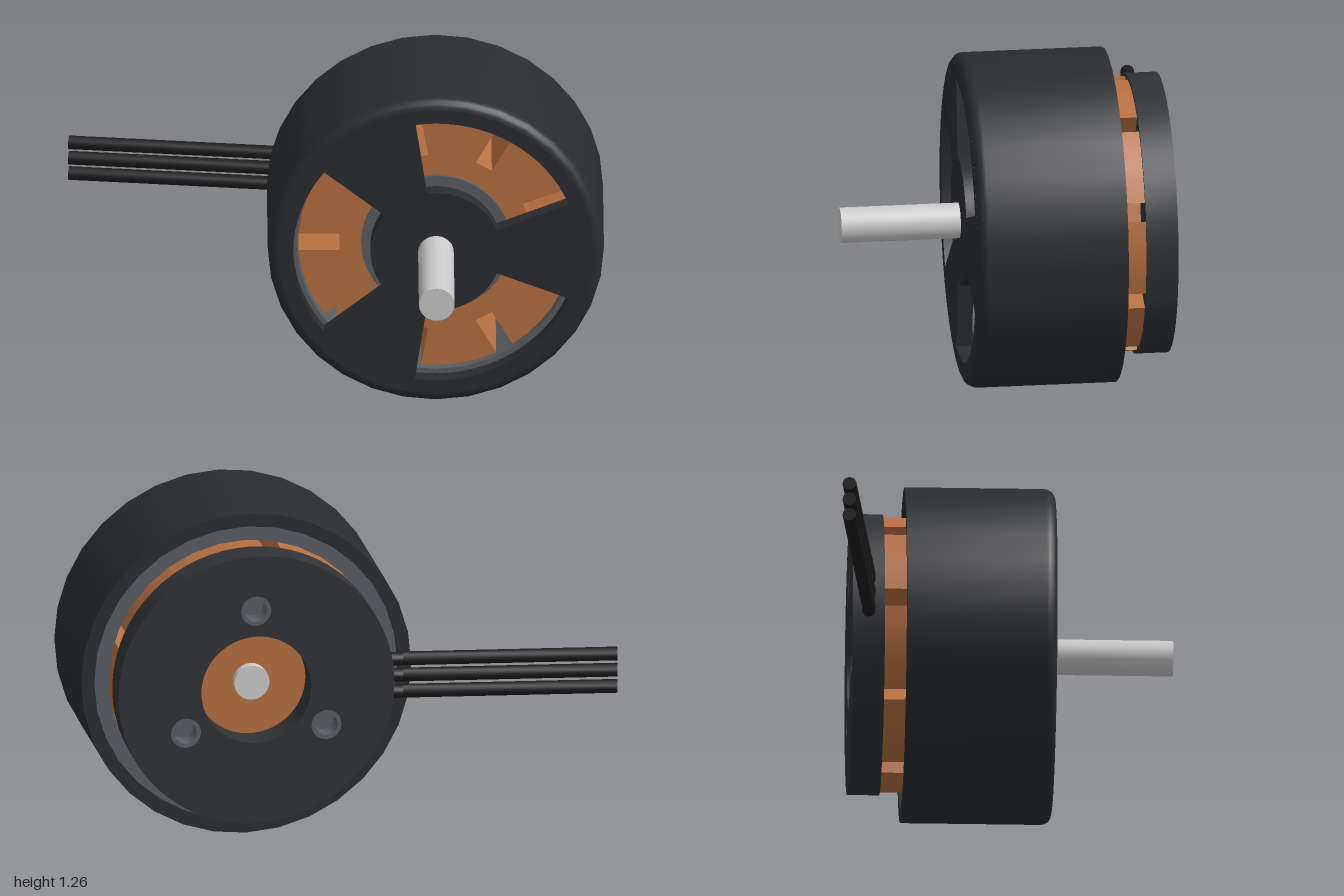
import * as THREE from 'three';
import { toCreasedNormals } from 'three/addons/utils/BufferGeometryUtils.js';

const SEG = 32;
const paint = (color) => new THREE.MeshStandardMaterial({ color });
const black = paint(0x2a2c30), plateBlack = paint(0x303236), copper = paint(0xb87040);
const darkGrey = paint(0x5a5d62), steel = paint(0xcccccc), rubber = paint(0x1c1c1e);

export function createModel() {
  const model = new THREE.Group();
  // The motor axis runs along z, through this point
  const motor = new THREE.Group();
  motor.name = 'motor';
  motor.position.set(0.37, 0.63, 0);
  model.add(motor);

  const add = (name, geometry, material, parent = motor) => {
    const mesh = new THREE.Mesh(toCreasedNormals(geometry, 0.6), material);
    mesh.name = name;
    parent.add(mesh);
    return mesh;
  };
  // Closed [radius, z] profile, counter-clockwise, turned about the z axis
  const turned = (profile, segments = SEG) =>
    new THREE.LatheGeometry([...profile, profile[0]].map(([r, z]) => new THREE.Vector2(r, z)), segments)
      .rotateX(Math.PI / 2);
  const ring = (r0, r1, z0, z1, segments) => turned([[r0, z0], [r1, z0], [r1, z1], [r0, z1]], segments);
  const rod = (r, z0, z1, segments = 24) =>
    new THREE.CylinderGeometry(r, r, z1 - z0, segments).rotateX(Math.PI / 2).translate(0, 0, (z0 + z1) / 2);
  const slab = (shape, z0, z1, curveSegments = SEG) =>
    new THREE.ExtrudeGeometry(shape, { depth: z1 - z0, bevelEnabled: false, curveSegments }).translate(0, 0, z0);
  const disc = (r) => new THREE.Shape().absarc(0, 0, r, 0, Math.PI * 2, false);
  const hole = (x, y, r) => new THREE.Path().absarc(x, y, r, 0, Math.PI * 2, true);

  // Bell wall with a rounded front edge
  const wall = [[0.58, -0.375], [0.63, -0.375]];
  for (let i = 0; i <= 5; i++) {
    const a = (i / 5) * Math.PI / 2;
    wall.push([0.59 + 0.04 * Math.cos(a), 0.15 + 0.04 * Math.sin(a)]);
  }
  wall.push([0.58, 0.13]);
  add('bellWall', turned(wall), black);

  // Bell front with three windows between the spokes
  const front = disc(0.59);
  const half = THREE.MathUtils.degToRad(38.5);
  for (let i = 0; i < 3; i++) {
    const mid = Math.PI / 3 + i * Math.PI * 2 / 3;
    const opening = new THREE.Path();
    opening.absarc(0, 0, 0.535, mid - half, mid + half, false);
    opening.absarc(0, 0, 0.245, mid + half, mid - half, true);
    opening.closePath();
    front.holes.push(opening);
  }
  add('bellFront', slab(front, 0.13, 0.19), black);
  add('magnetRing', ring(0.522, 0.585, -0.36, 0.12), darkGrey);

  // Wound stator with nine radial slots
  const R = 0.515, slotIn = 0.36, slotHalf = 0.035, teeth = 9;
  const step = Math.PI * 2 / teeth, edge = Math.asin(slotHalf / R);
  const outline = [];
  for (let i = 0; i < teeth; i++) {
    const a = Math.PI / 3 + i * step;
    for (const s of [-1, 1]) {
      outline.push(new THREE.Vector2(slotIn, s * slotHalf).rotateAround(new THREE.Vector2(), a));
    }
    for (let k = 0; k <= 4; k++) {
      const b = a + edge + (step - 2 * edge) * k / 4;
      outline.push(new THREE.Vector2(R * Math.cos(b), R * Math.sin(b)));
    }
  }
  add('stator', slab(new THREE.Shape(outline), -0.456, 0.1), copper);
  add('bearingHousing', rod(0.28, 0.05, 0.112, SEG), darkGrey);

  // Base plate with a central opening and three lined screw holes
  const base = disc(0.527);
  base.holes.push(hole(0, 0, 0.21));
  const screws = [0, 1, 2].map((i) => {
    const a = Math.PI / 2 + i * Math.PI * 2 / 3;
    return [0.31 * Math.cos(a), 0.31 * Math.sin(a)];
  });
  for (const [x, y] of screws) base.holes.push(hole(x, y, 0.058));
  add('basePlate', slab(base, -0.575, -0.455), plateBlack);
  for (const [x, y] of screws) {
    add('screwHoleLiner', ring(0.042, 0.058, -0.573, -0.46, 16), darkGrey).position.set(x, y, 0);
    add('screwHoleFloor', rod(0.05, -0.5, -0.46, 16), darkGrey).position.set(x, y, 0);
  }

  add('shaft', rod(0.067, -0.49, 0.64), steel);

  // Three leads leaving the base plate sideways, then angling back
  const bends = [[-0.1, -0.515], [-0.2, -0.518], [-1, -0.615]];
  for (let i = -1; i <= 1; i++) {
    const y = 0.635 + i * 0.064;
    for (let k = 0; k < 2; k++) {
      const a = new THREE.Vector3(bends[k][0], y, bends[k][1]);
      const b = new THREE.Vector3(bends[k + 1][0], y, bends[k + 1][1]);
      const lead = add('lead', new THREE.CylinderGeometry(0.026, 0.026, a.distanceTo(b), 12), rubber, model);
      lead.position.copy(a).lerp(b, 0.5);
      lead.quaternion.setFromUnitVectors(new THREE.Vector3(0, 1, 0), b.clone().sub(a).normalize());
    }
  }
  return model;
}
